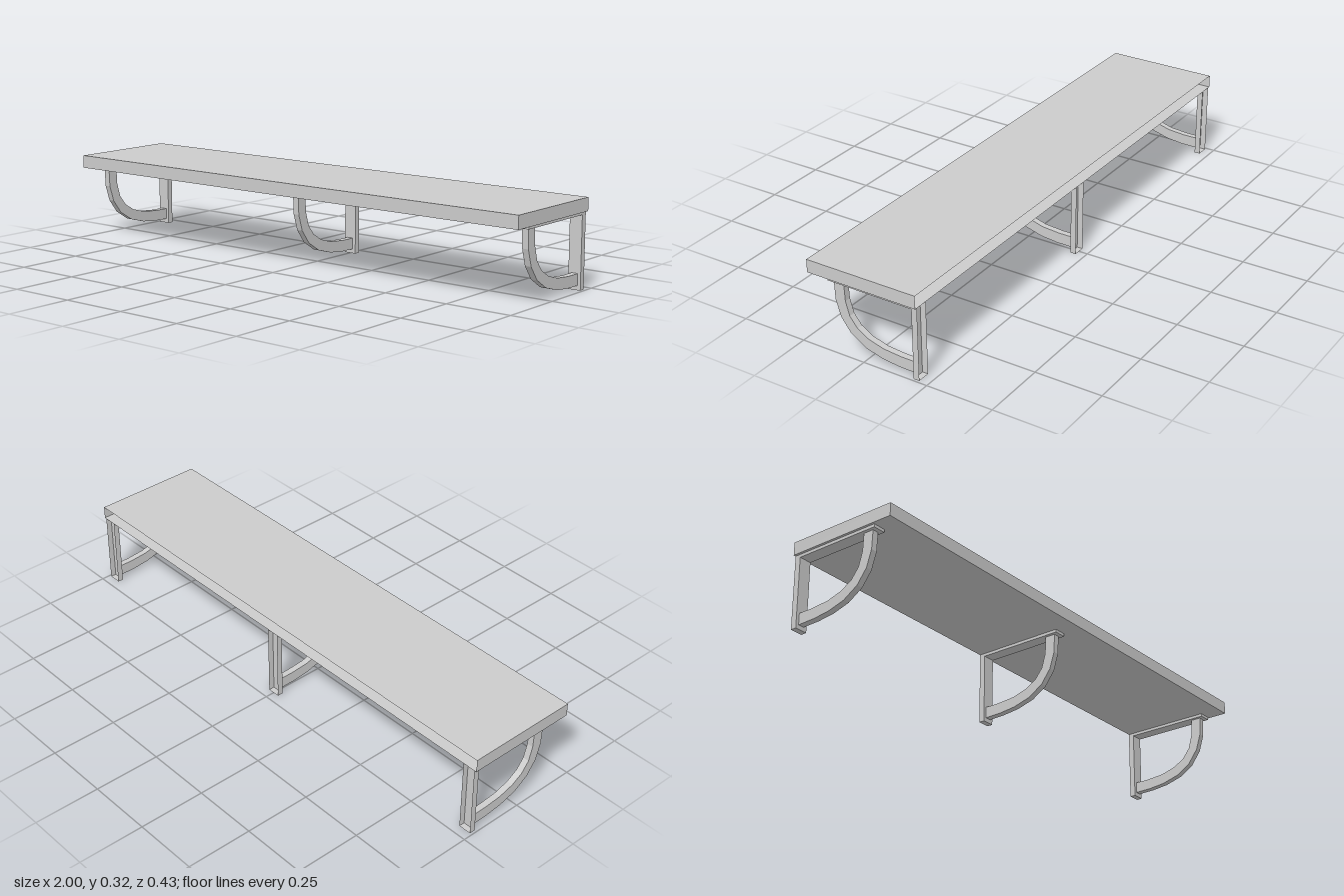
import * as THREE from 'three';

const material = new THREE.MeshStandardMaterial({
  color: 0xcccccc, flatShading: true, side: THREE.DoubleSide,
});

// Box side numbers, in BoxGeometry order
const TOP = 2, BACK = 5;

// Box between two corners, with the listed sides left open
function openBox(name, [x0, y0, z0], [x1, y1, z1], open) {
  const geometry = new THREE.BoxGeometry(x1 - x0, y1 - y0, z1 - z0);
  const index = Array.from(geometry.index.array);
  geometry.setIndex(index.filter((_, i) => !open.includes(Math.floor(i / 6))));
  geometry.clearGroups();
  geometry.translate((x0 + x1) / 2, (y0 + y1) / 2, (z0 + z1) / 2);
  const mesh = new THREE.Mesh(geometry, material);
  mesh.name = name;
  return mesh;
}

// Curved brace: outer and inner edge as [z, y], extruded across x
function brace(width) {
  const outer = [[0.123, 0.261], [0.12, 0.191], [0.101, 0.13], [0.063, 0.079],
    [0.006, 0.043], [-0.062, 0.024], [-0.128, 0.017], [-0.193, 0.016]];
  const inner = [[0.083, 0.261], [0.08, 0.196], [0.065, 0.144], [0.036, 0.107],
    [-0.007, 0.081], [-0.066, 0.064], [-0.137, 0.058], [-0.193, 0.058]];
  const outline = [...outer, ...inner.reverse()].map(([z, y]) => new THREE.Vector2(z, y));
  const geometry = new THREE.ExtrudeGeometry(new THREE.Shape(outline), {
    depth: width, bevelEnabled: false,
  });
  geometry.translate(0, 0, -width / 2).rotateY(-Math.PI / 2);
  const mesh = new THREE.Mesh(geometry, material);
  mesh.name = 'curvedBrace';
  return mesh;
}

// Bracket: wall channel, strap under the board and curved brace
function bracket(name, x) {
  const h = 0.024;
  const group = new THREE.Group();
  group.name = name;
  group.add(
    openBox('wallChannel', [-h, 0, -0.215], [h, 0.272, -0.193], [TOP, BACK]),
    openBox('shelfStrap', [-h, 0.261, -0.193], [h, 0.272, 0.139], [TOP, BACK]),
    brace(0.024),
  );
  group.position.x = x;
  return group;
}

export function createModel() {
  const model = new THREE.Group();
  model.name = 'wallShelf';

  // Board, open where it meets the wall
  model.add(openBox('shelfBoard', [-1, 0.272, -0.215], [1, 0.32, 0.215], [BACK]));

  // Three brackets along the board
  model.add(
    bracket('leftBracket', 0.967),
    bracket('middleBracket', 0),
    bracket('rightBracket', -0.967),
  );
  return model;
}
